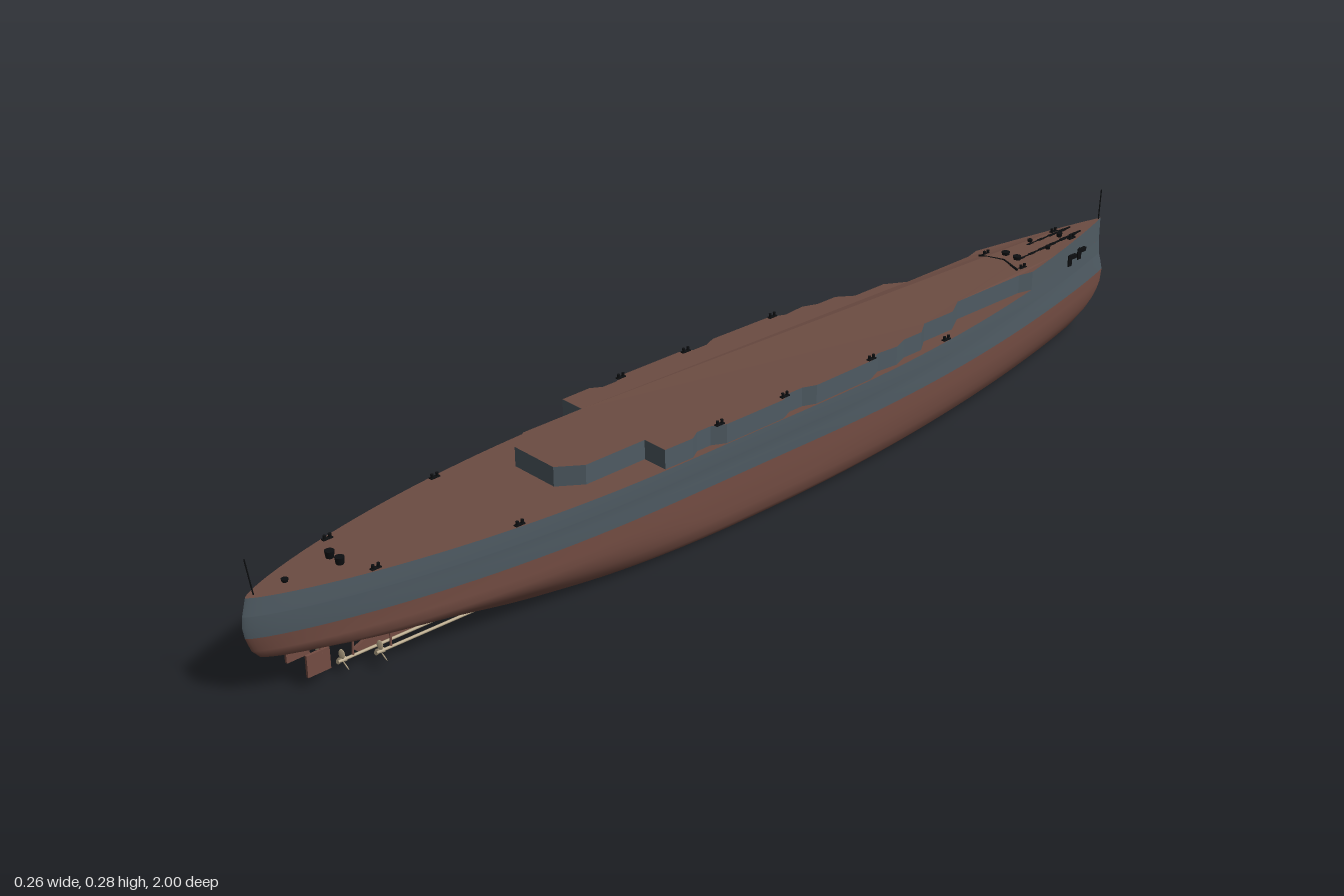
import * as THREE from 'three';

const mat = (name, color, side = THREE.FrontSide) => {
  const m = new THREE.MeshStandardMaterial({ color, side });
  m.name = name;
  return m;
};

// Waterlines: height, bow z, stern z, half beam, stern run length, stern fullness
const RED = [
  [0, -0.80, 0.56, 0.103, 0.5, 0.6],
  [0.006, -0.86, 0.60, 0.113, 0.52, 0.6],
  [0.02, -0.915, 0.68, 0.124, 0.58, 0.6],
  [0.04, -0.955, 0.79, 0.127, 0.64, 0.62],
  [0.055, -0.975, 0.90, 0.128, 0.7, 0.66],
  [0.07, -0.988, 0.975, 0.1285, 0.74, 0.7],
  [0.085, -0.996, 0.988, 0.129, 0.75, 0.74],
  [0.11, -1.0, 0.997, 0.129, 0.75, 0.75],
];
const GREY = [
  RED[7],
  [0.13, -0.994, 1.0, 0.1295, 0.75, 0.75],
  [0.147, -0.988, 0.998, 0.1295, 0.75, 0.75],
  [0.148, -0.988, 0.998, 0.131, 0.75, 0.75],
  [0.177, -0.985, 0.99, 0.131, 0.75, 0.75],
];
const DECK = GREY[4];
const DECK_Y = 0.177, HOUSE_Y = 0.212;
const COLS = 72;

// Half breadth of a waterline at z
function half([, zb, zs, beam, run, full], z) {
  const ease = (d, len, p) => Math.sin(Math.PI / 2 * Math.pow(Math.min(1, Math.max(0, d / len)), p));
  return beam * Math.min(ease(z - zb, 0.9, 0.9), ease(zs - z, run, full));
}

// Closed ring of points: left side bow to stern, right side back again
function ring(level) {
  const pts = [];
  for (let i = 0; i <= COLS; i++) {
    const t = (1 - Math.cos(Math.PI * i / COLS)) / 2;
    const z = level[1] + (level[2] - level[1]) * t;
    pts.push([half(level, z), level[0], z]);
  }
  return [...pts, ...pts.slice().reverse().map(([x, y, z]) => [-x, y, z])];
}

function makeGeometry(points, index) {
  const g = new THREE.BufferGeometry();
  g.setAttribute('position', new THREE.Float32BufferAttribute(points.flat(), 3));
  g.setIndex(index);
  g.computeVertexNormals();
  return g;
}

function skin(levels) {
  const n = 2 * (COLS + 1), index = [];
  for (let l = 0; l < levels.length - 1; l++) {
    for (let i = 0; i < n; i++) {
      const a = l * n + i, b = l * n + (i + 1) % n;
      index.push(a, a + n, b, b, a + n, b + n);
    }
  }
  return makeGeometry(levels.flatMap(ring), index);
}

function cap(level, up) {
  const n = 2 * (COLS + 1), index = [];
  for (let i = 0; i < COLS; i++) {
    const p = i, p1 = i + 1, q = n - 1 - i, q1 = n - 2 - i;
    index.push(...(up ? [p, q, p1, p1, q, q1] : [p, p1, q, p1, q1, q]));
  }
  return makeGeometry(ring(level), index);
}

// Forecastle rises gently towards the bow
const sheer = z => 0.009 * Math.pow(Math.max(0, (-z - 0.62) / 0.36), 1.3);

export function createModel() {
  const ship = new THREE.Group();
  ship.name = 'shipHull';
  const red = mat('antifoulingRed', 0x744d43, THREE.DoubleSide);
  const grey = mat('hullGrey', 0x4f5b63, THREE.DoubleSide);
  const deck = mat('deckBrown', 0x6c4c42);
  const black = mat('fittingBlack', 0x0d0f11);
  const brass = mat('propellerBrass', 0xb8a88a);

  const add = (name, geo, material, x = 0, y = 0, z = 0, parent = ship) => {
    const m = new THREE.Mesh(geo, material);
    m.name = name;
    m.position.set(x, y, z);
    parent.add(m);
    return m;
  };
  const box = (name, w, h, d, material, x, y, z) =>
    add(name, new THREE.BoxGeometry(w, h, d), material, x, y, z);
  const rod = (name, a, b, r, material) => {
    const p = new THREE.Vector3(...a), q = new THREE.Vector3(...b), dir = q.clone().sub(p);
    const m = add(name, new THREE.CylinderGeometry(r, r, dir.length(), 8), material);
    m.position.copy(p).add(q).multiplyScalar(0.5);
    m.quaternion.setFromUnitVectors(new THREE.Vector3(0, 1, 0), dir.normalize());
    return m;
  };

  // Hull
  add('lowerHull', skin(RED), red);
  add('hullBottom', cap(RED[0], false), red);
  add('upperHull', skin(GREY), grey);
  add('mainDeck', cap(DECK, true), deck);

  // Raised forecastle and casemate deck
  const side = [];
  for (let z = -0.97; z < -0.69; z += 0.03) side.push([half(DECK, z), z]);
  side.push([0.062, -0.67], [0.062, -0.5], [0.085, -0.46], [0.085, -0.385], [0.106, -0.355],
    [0.106, -0.31], [0.117, -0.28], [0.113, -0.235], [0.126, -0.205], [0.128, -0.07],
    [0.118, -0.045], [0.118, -0.015], [0.129, 0.01], [0.129, 0.14], [0.116, 0.165],
    [0.116, 0.195], [0.128, 0.215], [0.127, 0.275], [0.078, 0.275], [0.078, 0.4], [0.048, 0.442]);
  const outline = [[0, -0.985], ...side, ...side.slice().reverse().map(([x, z]) => [-x, z])];
  const shape = new THREE.Shape(outline.map(([x, z]) => new THREE.Vector2(x, -z)));
  const houseGeo = new THREE.ExtrudeGeometry(shape, { depth: HOUSE_Y - 0.17, bevelEnabled: false });
  houseGeo.rotateX(-Math.PI / 2);
  const pos = houseGeo.attributes.position;
  for (let i = 0; i < pos.count; i++) {
    if (pos.getY(i) > 0.01) pos.setY(i, pos.getY(i) + sheer(pos.getZ(i)));
  }
  houseGeo.computeVertexNormals();
  add('forecastle', houseGeo, [deck, grey], 0, 0.17, 0);

  // Centreline skeg
  const skeg = new THREE.Shape([[-0.45, 0], [-0.8, 0.003], [-0.81, 0.012], [-0.74, 0.045], [-0.45, 0.02]]
    .map(p => new THREE.Vector2(...p)));
  const skegGeo = new THREE.ExtrudeGeometry(skeg, { depth: 0.006, bevelEnabled: false });
  skegGeo.rotateY(Math.PI / 2);
  add('skeg', skegGeo, red, -0.003, 0, 0);

  // Propellers with shafts and struts, twin rudders
  const bladeGeo = new THREE.SphereGeometry(1, 10, 6);
  const propeller = (x, y, z) => {
    const g = new THREE.Group();
    g.name = 'propeller';
    g.position.set(x, y, z);
    ship.add(g);
    const hub = add('hub', new THREE.CylinderGeometry(0.002, 0.004, 0.014, 10), brass, 0, 0, 0, g);
    hub.rotation.x = Math.PI / 2;
    for (let k = 0; k < 3; k++) {
      const arm = new THREE.Group();
      arm.name = 'bladeArm';
      arm.rotation.z = k * Math.PI * 2 / 3;
      g.add(arm);
      const blade = add('blade', bladeGeo, brass, 0, 0.011, 0, arm);
      blade.scale.set(0.0055, 0.009, 0.0012);
      blade.rotation.y = 0.5;
    }
  };
  for (const s of [-1, 1]) {
    for (const [x, y, z] of [[0.028, 0.022, 0.85], [0.058, 0.03, 0.8]]) {
      propeller(s * x, y, z);
      rod('propellerShaft', [s * x, y, z], [s * x, y - 0.004, 0.58], 0.0025, brass);
      rod('shaftStrut', [s * x, y, z - 0.02], [s * x * 0.9, 0.066, z - 0.025], 0.002, red);
    }
    box('rudder', 0.005, 0.038, 0.042, red, s * 0.028, 0.038, 0.893);
    rod('rudderStock', [s * 0.028, 0.05, 0.885], [s * 0.02, 0.08, 0.885], 0.003, red);
  }

  // Flagstaffs
  rod('jackstaff', [0, 0.21, -0.978], [0, 0.28, -0.982], 0.0012, black);
  rod('ensignStaff', [0, 0.175, 0.975], [0, 0.24, 0.985], 0.0012, black);

  // Foredeck and quarterdeck gear
  const drum = (name, x, y, z, r, h) =>
    add(name, new THREE.CylinderGeometry(r, r * 0.8, h, 12), black, x, y + h / 2, z);
  const bollards = (x, y, z) => {
    box('bollardBase', 0.007, 0.002, 0.018, black, x, y + 0.001, z);
    for (const d of [-0.005, 0.005]) drum('bollard', x, y, z + d, 0.0028, 0.008);
  };
  const foreY = z => HOUSE_Y + sheer(z);
  for (const s of [-1, 1]) {
    for (let k = 0; k < 13; k++) {
      const z = -0.9 + k * 0.0155;
      box('chainLink', k % 2 ? 0.006 : 0.003, 0.003, 0.015, black, s * (0.013 + k * 0.0003), foreY(z) + 0.001, z);
    }
    drum('capstan', s * 0.014, foreY(-0.72), -0.72, 0.008, 0.009);
    drum('windlass', s * 0.022, foreY(-0.8), -0.8, 0.005, 0.007);
    drum('sternCapstan', s * 0.013, DECK_Y, 0.83, 0.008, 0.012);
    const water = box('breakwater', 0.05, 0.006, 0.003, black, s * 0.024, foreY(-0.68) + 0.002, -0.69);
    water.rotation.y = -s * 0.35;
    bollards(s * 0.022, foreY(-0.87), -0.87);
    bollards(s * 0.045, foreY(-0.7), -0.7);
    for (const z of [-0.21, 0.0, 0.15]) bollards(s * 0.122, HOUSE_Y, z);
    bollards(s * 0.108, DECK_Y, -0.42);
    bollards(s * 0.107, DECK_Y, 0.56);
    bollards(s * 0.062, DECK_Y, 0.8);

    // Bower anchors on the bow sides
    for (const z of [-0.895, -0.855]) {
      const x = s * (half(DECK, z) + 0.002);
      box('anchorShank', 0.006, 0.008, 0.024, black, x, 0.188, z);
      box('anchorFluke', 0.007, 0.022, 0.01, black, x, 0.183, z + 0.008);
    }
  }
  drum('foreCapstan', 0, foreY(-0.86), -0.86, 0.006, 0.008);
  drum('sternHatch', 0, DECK_Y, 0.92, 0.006, 0.005);
  return ship;
}
